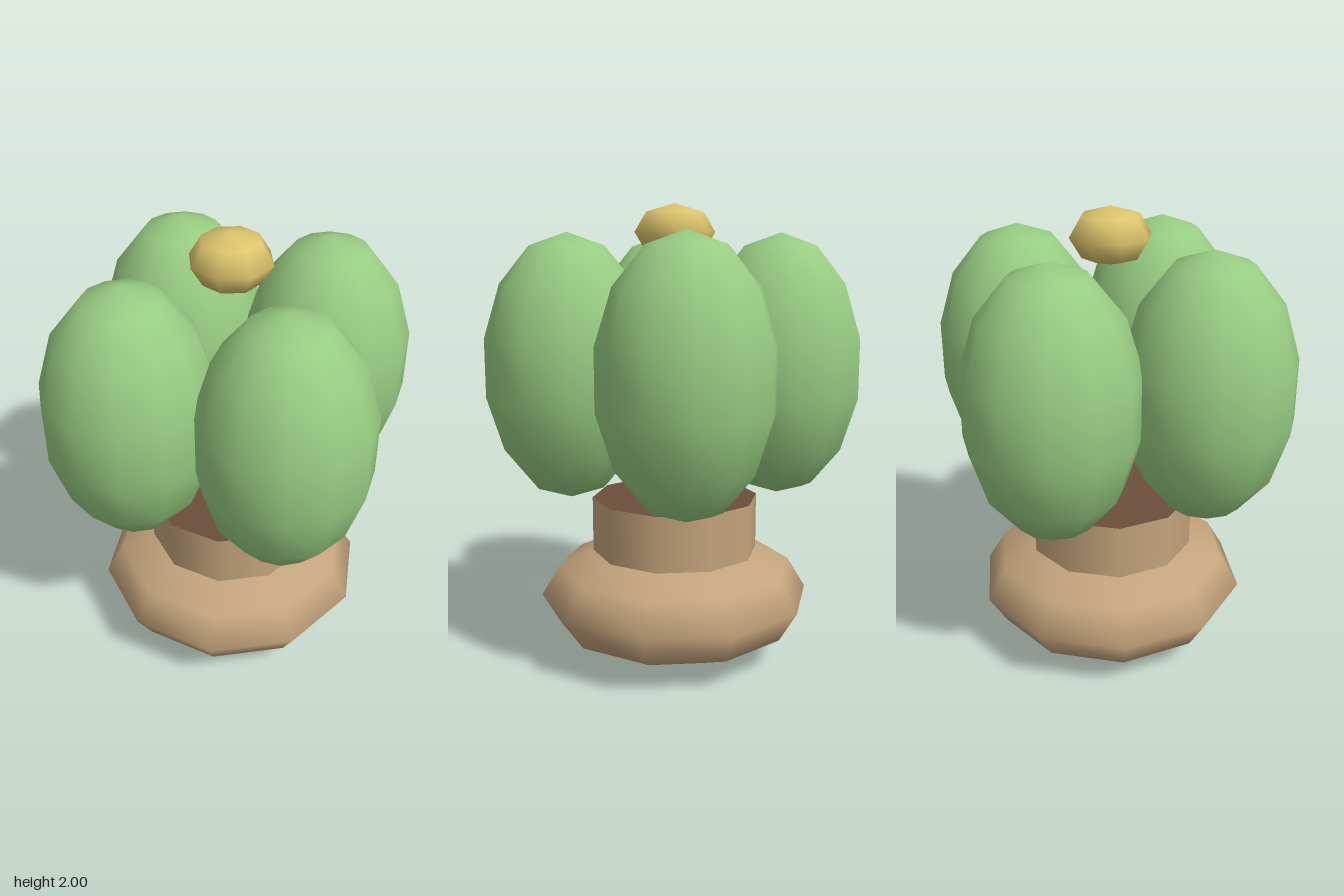
import * as THREE from 'three';

const material = (name, color) => {
  const m = new THREE.MeshStandardMaterial({ color });
  m.name = name;
  return m;
};

export function createModel() {
  const model = new THREE.Group();
  model.name = 'pottedCactus';
  const green = material('leaf green', 0x98cc82);
  const clay = material('tan clay', 0xc4a47c);
  const soil = material('dark soil', 0x6b4f3a);
  const gold = material('flower gold', 0xdcc46c);

  const add = (name, geometry, mat, x, y, z) => {
    const mesh = new THREE.Mesh(geometry, mat);
    mesh.name = name;
    mesh.position.set(x, y, z);
    model.add(mesh);
    return mesh;
  };

  // Squashed ball-shaped base, with a corner towards the front
  const baseGeometry = new THREE.SphereGeometry(0.604, 10, 6);
  baseGeometry.scale(1, 0.27 / 0.604, 1).rotateY(Math.PI / 2);
  add('potBase', baseGeometry, clay, 0, 0.272, 0);

  // Collar of the pot, filled with soil
  add('potCollar', new THREE.CylinderGeometry(0.37, 0.37, 0.3, 10), [clay, soil, clay], 0, 0.57, 0);

  // Four upright lobes around the centre
  const lobeGeometry = new THREE.SphereGeometry(0.37, 12, 7);
  lobeGeometry.scale(1, 0.577 / 0.37, 1);
  ['leftLobe', 'frontLobe', 'rightLobe', 'backLobe'].forEach((name, i) => {
    const a = (i * Math.PI) / 2;
    add(name, lobeGeometry, green, 0.462 * Math.cos(a), 1.303, 0.462 * Math.sin(a));
  });

  // Flower bud above the middle
  const budGeometry = new THREE.SphereGeometry(0.174, 8, 4);
  budGeometry.scale(1, 0.12 / 0.174, 1);
  add('flowerBud', budGeometry, gold, 0, 1.88, 0);

  return model;
}
